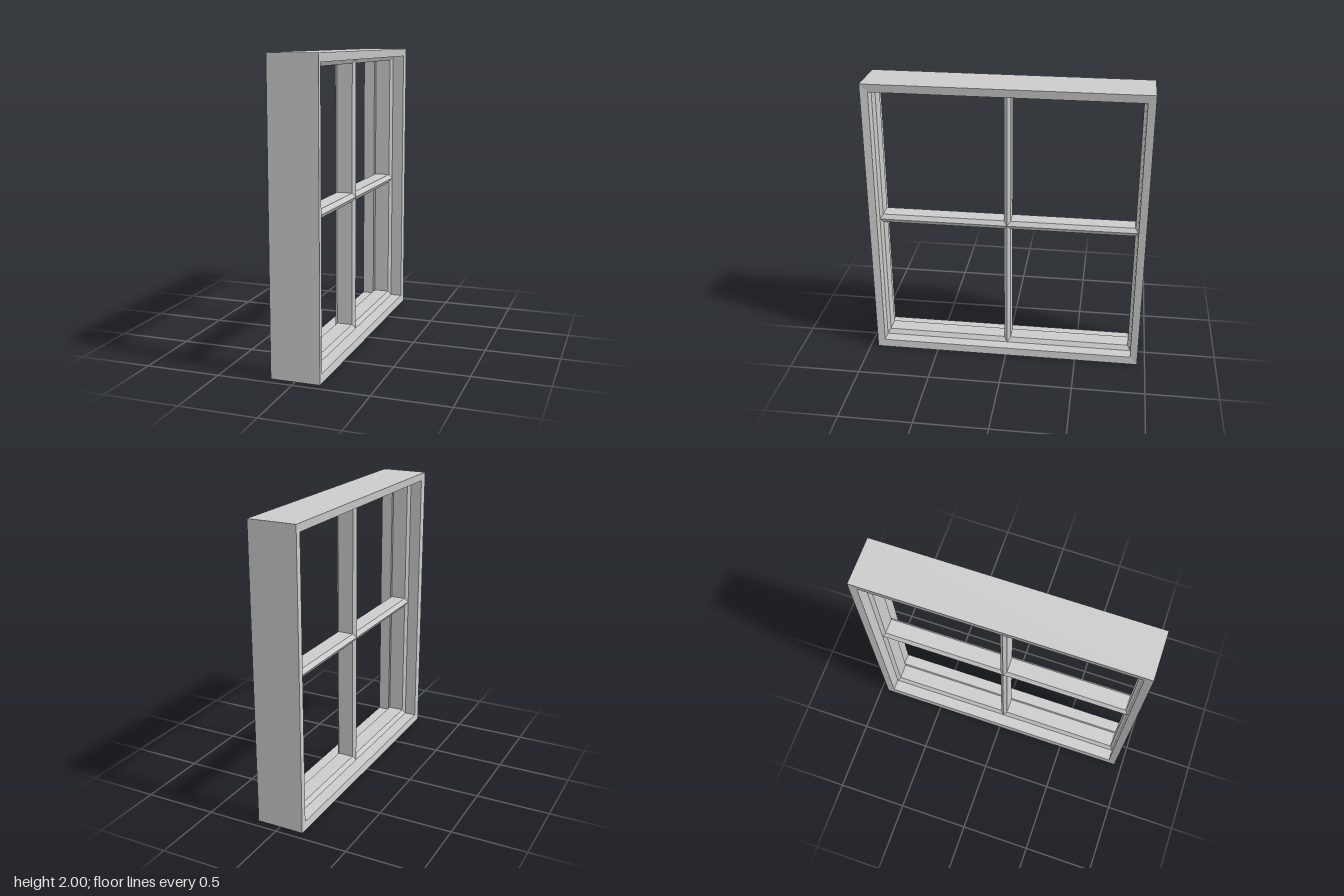
import * as THREE from 'three';

const material = new THREE.MeshStandardMaterial({ color: 0xcccccc, flatShading: true });
const MID = 1; // height of the window's centre

function addMesh(group, name, geometry) {
  const mesh = new THREE.Mesh(geometry, material);
  mesh.name = name;
  mesh.position.y = MID;
  group.add(mesh);
}

// Sweeps a closed profile of [x, half width in z, half height in y] round a mitred rectangle
function mitredRing(profile) {
  const corners = [[1, 1], [-1, 1], [-1, -1], [1, -1]];
  const point = (j, k) => {
    const [x, hz, hy] = profile[j % profile.length];
    const [sz, sy] = corners[k % 4];
    return [x, hy * sy, hz * sz];
  };
  const positions = [];
  for (let j = 0; j < profile.length; j++) {
    for (let k = 0; k < 4; k++) {
      const a = point(j, k), b = point(j + 1, k), c = point(j + 1, k + 1), d = point(j, k + 1);
      positions.push(...a, ...b, ...c, ...a, ...c, ...d);
    }
  }
  const geometry = new THREE.BufferGeometry();
  geometry.setAttribute('position', new THREE.Float32BufferAttribute(positions, 3));
  geometry.computeVertexNormals();
  return geometry;
}

// Six-sided glazing bar with a ridge on each face, running along z
function glazingBar(halfWidth, halfLength) {
  const shape = new THREE.Shape([
    [0.075, 0], [0.055, halfWidth], [-0.055, halfWidth],
    [-0.075, 0], [-0.055, -halfWidth], [0.055, -halfWidth],
  ].map(([x, y]) => new THREE.Vector2(x, y)));
  return new THREE.ExtrudeGeometry(shape, { depth: halfLength * 2, bevelEnabled: false })
    .translate(0, 0, -halfLength);
}

export function createModel() {
  const group = new THREE.Group();
  group.name = 'windowFrame';

  // Outer frame: slightly sloped rims, deep reveals and a chamfered inner stop
  const half = [
    [0.163, 0.945, 1],
    [0.157, 0.893, 0.945],
    [0.075, 0.893, 0.945],
    [0.055, 0.873, 0.913],
  ];
  const mirrored = half.map(([x, z, y]) => [-x, z, y]).reverse();
  addMesh(group, 'outerFrame', mitredRing([...half, ...mirrored]));

  // Crossing glazing bars
  addMesh(group, 'horizontalBar', glazingBar(0.03, 0.893));
  addMesh(group, 'verticalBar', glazingBar(0.023, 0.945).rotateX(-Math.PI / 2));

  return group;
}
